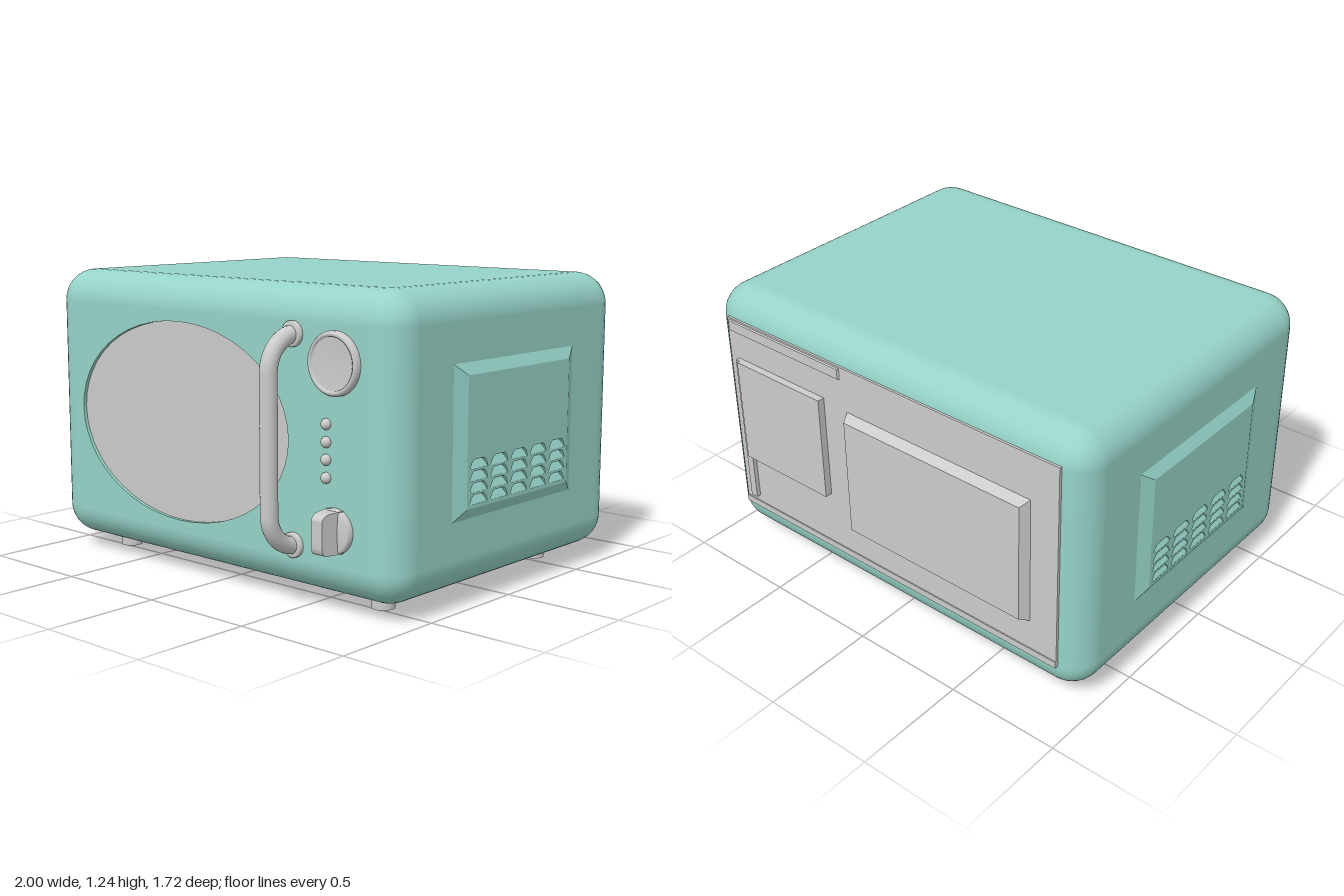
import * as THREE from 'three';
import { mergeGeometries } from 'three/addons/utils/BufferGeometryUtils.js';

const teal = new THREE.MeshStandardMaterial({ color: 0x96d3c8 });
const tealThin = new THREE.MeshStandardMaterial({ color: 0x96d3c8, side: THREE.DoubleSide });
const grey = new THREE.MeshStandardMaterial({ color: 0xcccccc });

function add(parent, name, geometry, material, x = 0, y = 0, z = 0) {
  const mesh = new THREE.Mesh(geometry, material);
  mesh.name = name;
  mesh.position.set(x, y, z);
  parent.add(mesh);
  return mesh;
}

// Box from z = 0 to z = d whose front is smaller by "inset" on every side
function taperedBox(w, h, d, insetX, insetY = insetX) {
  const g = new THREE.BoxGeometry(w, h, d).translate(0, 0, d / 2);
  const p = g.attributes.position;
  for (let i = 0; i < p.count; i++) {
    if (p.getZ(i) < d / 2) continue;
    p.setX(i, p.getX(i) * (1 - 2 * insetX / w));
    p.setY(i, p.getY(i) * (1 - 2 * insetY / h));
  }
  g.computeVertexNormals();
  return g;
}

// Turned part with its axis along +z; profile is [radius, height] pairs
function turned(profile, segments = 40) {
  const pts = profile.map(([r, h]) => new THREE.Vector2(r, h));
  return new THREE.LatheGeometry(pts, segments).rotateX(Math.PI / 2);
}

const rect = (w, h, cx = 0, cy = 0) => new THREE.Shape([
  [-1, -1], [1, -1], [1, 1], [-1, 1]
].map(([a, b]) => new THREE.Vector2(cx + a * w / 2, cy + b * h / 2)));

const BODY = { x: 0.975, y0: 0.06, y1: 1.243, back: -0.81, front: 0.685, r: 0.135 };

// Rounded wall between the flat front and back, with exact smooth normals
function bodyShell() {
  const { x, y0, y1, back, front, r } = BODY, n = 10;
  const cx = x - r, cy = (y1 - y0) / 2 - r, my = (y0 + y1) / 2;
  const pos = [], nor = [], idx = [];
  const ring = 4 * (n + 1);
  for (let k = 0; k < 2 * (n + 1); k++) {
    const half = k > n ? 1 : 0;
    const t = ((k - half * (n + 1)) / n - 1 + half) * Math.PI / 2;
    const zc = half ? front - r : back + r;
    for (let c = 0; c < 4; c++) for (let i = 0; i <= n; i++) {
      const a = (c + i / n) * Math.PI / 2;
      const nx = Math.cos(a) * Math.cos(t), ny = Math.sin(a) * Math.cos(t), nz = Math.sin(t);
      const sx = c === 0 || c === 3 ? 1 : -1, sy = c < 2 ? 1 : -1;
      pos.push(sx * cx + r * nx, my + sy * cy + r * ny, zc + r * nz);
      nor.push(nx, ny, nz);
    }
  }
  for (let k = 0; k < 2 * n + 1; k++) for (let j = 0; j < ring; j++) {
    const a = k * ring + j, b = k * ring + (j + 1) % ring;
    idx.push(a, b, b + ring, a, b + ring, a + ring);
  }
  const g = new THREE.BufferGeometry();
  g.setAttribute('position', new THREE.Float32BufferAttribute(pos, 3));
  g.setAttribute('normal', new THREE.Float32BufferAttribute(nor, 3));
  g.setIndex(idx);
  return g;
}

function buildBody(root) {
  const { x, y0, y1, back, front, r } = BODY;
  const body = new THREE.Group();
  body.name = 'body';
  root.add(body);
  const w = 2 * (x - r), h = y1 - y0 - 2 * r, my = (y0 + y1) / 2;
  add(body, 'shell', bodyShell(), teal);
  add(body, 'backWall', new THREE.PlaneGeometry(w, h).rotateY(Math.PI), teal, 0, my, back);

  // Front with an oval opening, its rim and the recessed window
  const face = rect(w, h, 0, my);
  face.holes.push(new THREE.Path().absellipse(-0.17, 0.65, 0.615, 0.413, 0, Math.PI * 2, true));
  add(body, 'frontFace', new THREE.ShapeGeometry(face, 24), teal, 0, 0, front);
  const rim = new THREE.CylinderGeometry(1, 1, 0.02, 48, 1, true).rotateX(Math.PI / 2).scale(0.615, 0.413, 1);
  add(body, 'windowRim', rim, tealThin, -0.17, 0.65, front - 0.01);
  const glass = new THREE.CircleGeometry(1, 48).scale(0.615, 0.413, 1);
  add(body, 'window', glass, grey, -0.17, 0.65, front - 0.015);
}

// Raised side panel with rows of louvred vents, facing +z before it is turned
function sidePanel(name) {
  const panel = new THREE.Group();
  panel.name = name;
  const w = 0.81, h = 0.605, d = 0.025;
  const border = taperedBox(w, h, d, 0.06, 0.045);
  const index = Array.from(border.index.array);
  index.splice(24, 6); // leaves the front open for the vented face
  border.setIndex(index);
  border.clearGroups();
  add(panel, 'panelBorder', border, teal);

  const face = rect(w - 0.12, h - 0.09);
  const slats = [];
  for (let col = -2; col <= 2; col++) for (let row = 0; row < 4; row++) {
    const u = col * 0.1345, v = -0.243 + row * 0.046;
    const hole = new THREE.Path();
    hole.moveTo(u - 0.057, v);
    hole.quadraticCurveTo(u - 0.05, v + 0.028, u - 0.032, v + 0.037);
    hole.lineTo(u + 0.032, v + 0.037);
    hole.quadraticCurveTo(u + 0.05, v + 0.028, u + 0.057, v);
    hole.closePath();
    face.holes.push(hole);
    slats.push(new THREE.PlaneGeometry(0.114, 0.042).rotateX(-0.495).translate(u, v + 0.0185, d - 0.011));
  }
  const faceGeo = new THREE.ExtrudeGeometry(face, { depth: d - 0.001, bevelEnabled: false, curveSegments: 4 });
  add(panel, 'ventedFace', faceGeo, teal, 0, 0, 0.001);
  add(panel, 'ventSlats', mergeGeometries(slats), tealThin);
  return panel;
}

function buildHandle(root) {
  const x = 0.472, y0 = 0.245, y1 = 1.06, z0 = 0.68, z1 = 0.82, b = 0.14;
  const V = (y, z) => new THREE.Vector3(x, y, z);
  const k = 0.45 * b;
  const path = new THREE.CurvePath();
  path.add(new THREE.CubicBezierCurve3(V(y0, z0), V(y0, z1 - k), V(y0 + k, z1), V(y0 + b, z1)));
  path.add(new THREE.LineCurve3(V(y0 + b, z1), V(y1 - b, z1)));
  path.add(new THREE.CubicBezierCurve3(V(y1 - b, z1), V(y1 - k, z1), V(y1, z1 - k), V(y1, z0)));
  add(root, 'doorHandle', new THREE.TubeGeometry(path, 64, 0.035, 20), grey);
  for (const y of [y0, y1])
    add(root, 'handleFlange', turned([[0.05, 0], [0.05, 0.012], [0.043, 0.02], [0, 0.02]], 28), grey, x, y, 0.685);
}

function buildControls(root) {
  // Round display with a raised ring
  const dial = turned([[0.122, 0], [0.122, 0.016], [0.116, 0.026], [0.108, 0.028],
    [0.102, 0.024], [0.1, 0.016], [0, 0.016]], 48);
  add(root, 'displayDial', dial, grey, 0.685, 0.965, 0.685);
  for (const y of [0.735, 0.667, 0.6, 0.531])
    add(root, 'button', new THREE.SphereGeometry(0.022, 20, 14), grey, 0.641, y, 0.687);

  // Rotary knob with a tapered grip
  const knob = new THREE.Group();
  knob.name = 'timerKnob';
  knob.position.set(0.685, 0.335, 0.685);
  root.add(knob);
  add(knob, 'knobBase', turned([[0.088, 0], [0.088, 0.018], [0.08, 0.028], [0, 0.033]]), grey);
  const grip = new THREE.Shape();
  grip.moveTo(-0.082, 0);
  grip.lineTo(-0.078, 0.085);
  grip.quadraticCurveTo(-0.074, 0.103, -0.045, 0.105);
  grip.lineTo(0.055, 0.105);
  grip.quadraticCurveTo(0.078, 0.098, 0.08, 0.06);
  grip.lineTo(0.082, 0);
  const gripGeo = new THREE.ExtrudeGeometry(grip, { depth: 0.08, bevelEnabled: false, curveSegments: 8 });
  gripGeo.translate(0, 0, -0.04).rotateY(-Math.PI / 2).rotateZ(Math.PI / 2);
  // profile plane becomes y-z, thickness runs along x and narrows outward
  gripGeo.rotateX(0);
  const p = gripGeo.attributes.position;
  const src = new THREE.ExtrudeGeometry(grip, { depth: 0.08, bevelEnabled: false, curveSegments: 8 }).attributes.position;
  for (let i = 0; i < p.count; i++) {
    const out = src.getY(i);
    p.setXYZ(i, (src.getZ(i) - 0.04) * (1 - 3.2 * out), src.getX(i), out);
  }
  gripGeo.computeVertexNormals();
  add(knob, 'knobGrip', gripGeo, grey);
}

function buildBack(root) {
  const back = new THREE.Group();
  back.name = 'backPanel';
  back.rotation.y = Math.PI; // local +z points backward, local x is mirrored
  back.position.z = -0.8;
  root.add(back);
  add(back, 'backPlate', taperedBox(1.74, 0.93, 0.018, 0), grey, 0, 0.665, 0);
  add(back, 'largeCover', taperedBox(0.95, 0.585, 0.06, 0.03), grey, 0.275, 0.65, 0);
  add(back, 'smallCover', taperedBox(0.48, 0.47, 0.05, 0), grey, -0.56, 0.715, 0);
  add(back, 'cableGuide', taperedBox(0.035, 0.69, 0.037, 0), grey, -0.805, 0.605, 0);
  add(back, 'topLip', taperedBox(0.66, 0.06, 0.026, 0.015, 0.008), grey, -0.54, 1.098, 0);
  add(back, 'bottomLip', taperedBox(1.74, 0.03, 0.023, 0), grey, 0, 0.215, 0);
}

export function createModel() {
  const root = new THREE.Group();
  root.name = 'microwaveOven';
  buildBody(root);
  for (const s of [-1, 1]) {
    const panel = sidePanel(s > 0 ? 'leftSidePanel' : 'rightSidePanel');
    panel.rotation.y = s * Math.PI / 2;
    panel.position.set(s * 0.975, 0.652, -0.055);
    root.add(panel);
    for (const z of [0.465, -0.565])
      add(root, 'foot', new THREE.CylinderGeometry(0.047, 0.047, 0.08, 28), grey, s * 0.738, 0.04, z);
  }
  buildHandle(root);
  buildControls(root);
  buildBack(root);
  return root;
}
